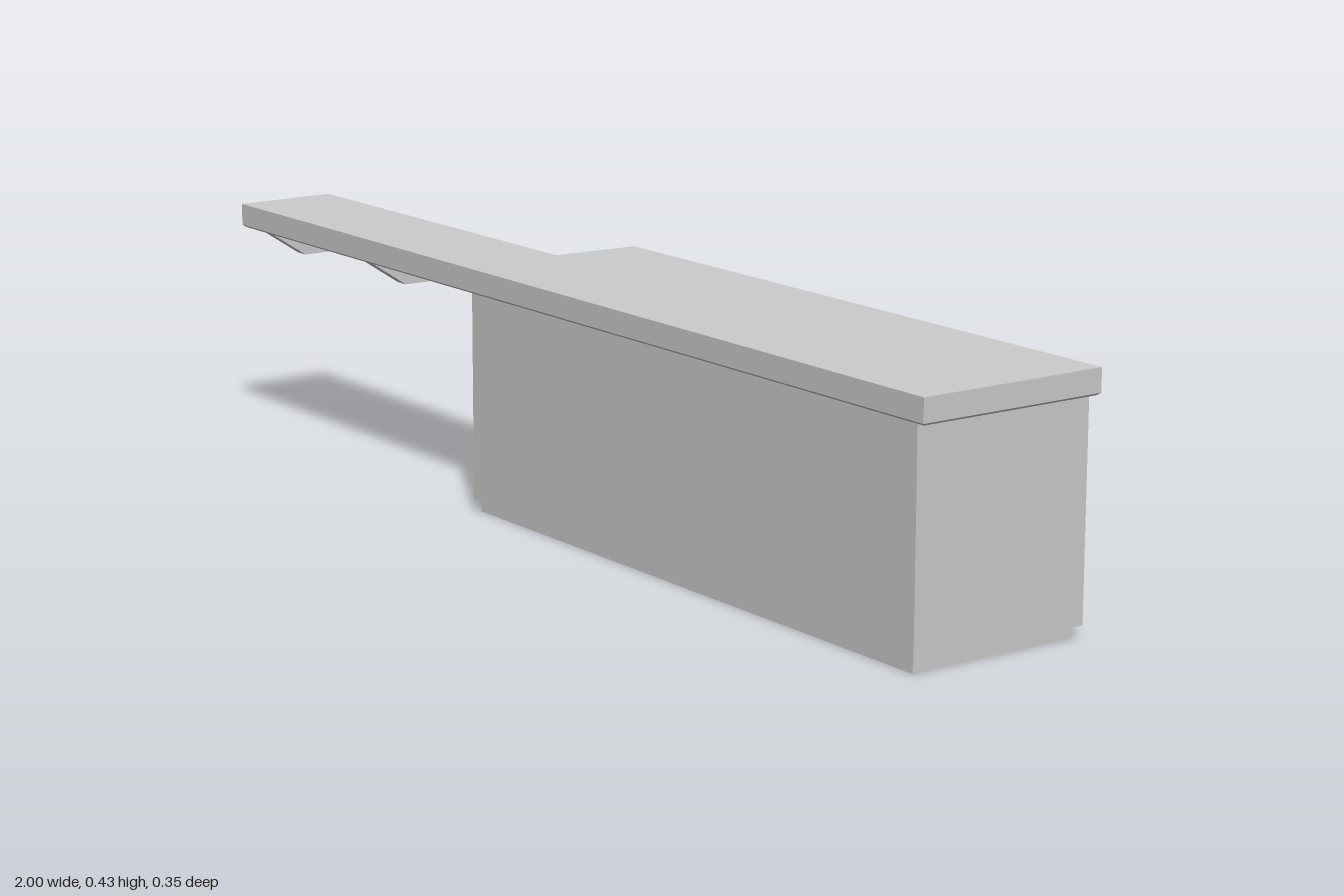
import * as THREE from 'three';

const material = new THREE.MeshStandardMaterial({ color: 0xcccccc, flatShading: true });

// Polygon given as [x, z] points, extruded upward from y0 to y1
function prism(name, points, y0, y1) {
  const shape = new THREE.Shape(points.map(([x, z]) => new THREE.Vector2(x, -z)));
  const geometry = new THREE.ExtrudeGeometry(shape, { depth: y1 - y0, bevelEnabled: false });
  geometry.rotateX(-Math.PI / 2).translate(0, y0, 0);
  const mesh = new THREE.Mesh(geometry, material);
  mesh.name = name;
  return mesh;
}

export function createModel() {
  const group = new THREE.Group();
  group.name = 'counter';

  // L-shaped worktop: full depth over the cabinet, narrow breakfast bar beyond it
  const outline = [[-1, 0.176], [1, 0.176], [1, -0.176], [-0.217, -0.176], [-0.227, -0.015], [-1, -0.015]];
  group.add(prism('worktop', outline, 0.394, 0.434));

  // Chamfered lower edge of the worktop: its bottom corners are drawn inward
  const chamfer = prism('worktopLowerEdge', outline, 0.39, 0.394);
  const p = chamfer.geometry.attributes.position;
  const inset = 0.005;
  for (let i = 0; i < p.count; i++) {
    if (p.getY(i) > 0.392) continue;
    const x = p.getX(i), z = p.getZ(i);
    p.setX(i, x + (x > 0.9 ? -inset : inset));
    p.setZ(i, z + (z > 0 ? -inset : inset));
  }
  chamfer.geometry.computeVertexNormals();
  group.add(chamfer);

  // Cabinet and recessed plinth, with a slightly skewed inner end
  group.add(prism('cabinet', [[-0.215, 0.17], [0.98, 0.17], [0.98, -0.17], [-0.2, -0.17]], 0.022, 0.39));
  group.add(prism('plinth', [[-0.206, 0.16], [0.967, 0.16], [0.967, -0.16], [-0.191, -0.16]], 0, 0.022));

  // Tapered brackets under the bar; profile runs back to front along z
  const profile = new THREE.Shape([[0, 0.39], [0, 0.331], [0.065, 0.331], [0.155, 0.39]]
    .map(([z, y]) => new THREE.Vector2(-z, y)));
  const bracketGeometry = new THREE.ExtrudeGeometry(profile, { depth: 0.028, bevelEnabled: false });
  bracketGeometry.rotateY(Math.PI / 2);
  [-0.984, -0.625, -0.235].forEach((x, i) => {
    const bracket = new THREE.Mesh(bracketGeometry, material);
    bracket.name = `bracket${i + 1}`;
    bracket.position.x = x;
    group.add(bracket);
  });

  return group;
}
